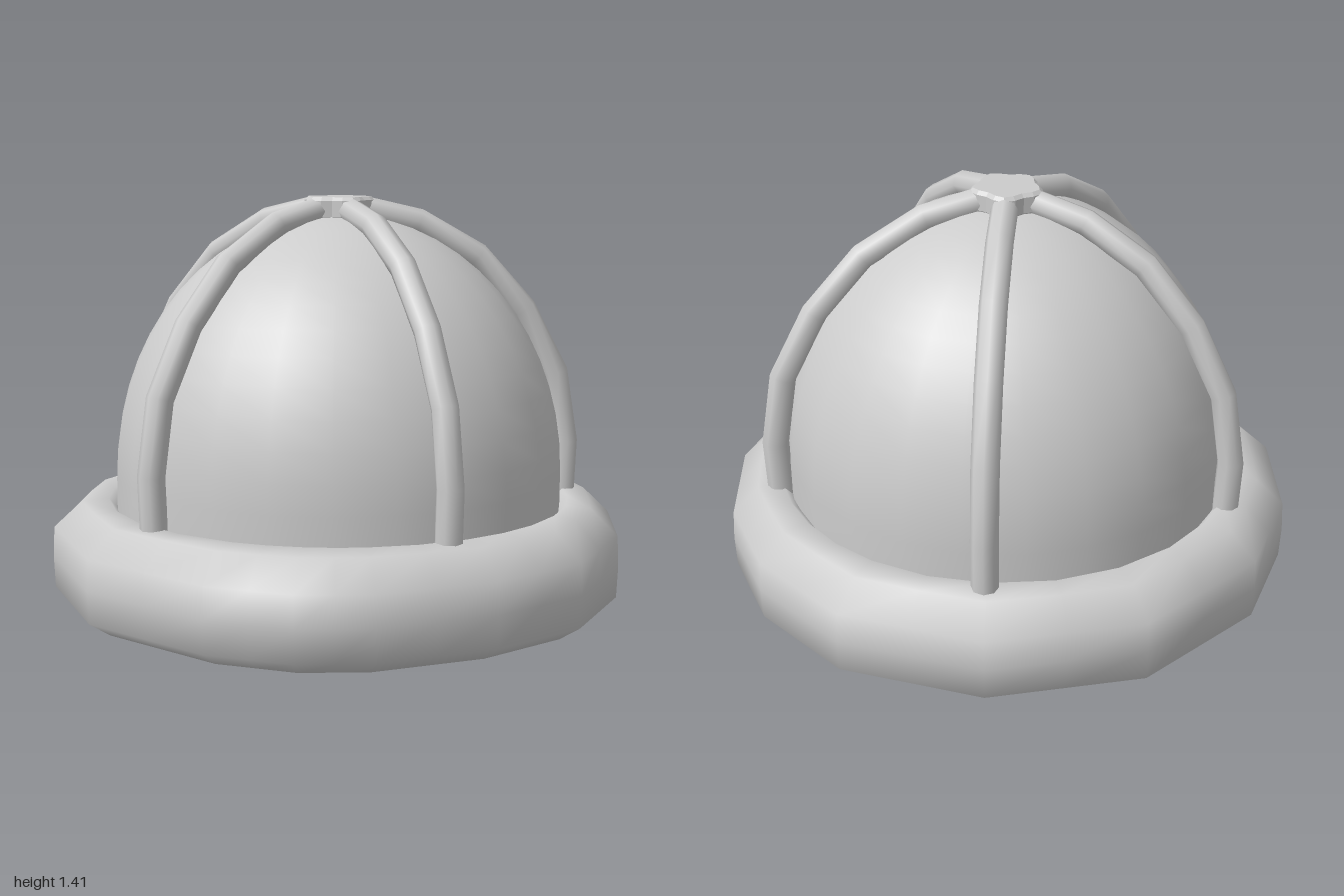
import * as THREE from 'three';

const DOME_R = 0.785;

// Slightly uneven rim outline as (x, z) pairs, going round from +x towards +z
const OUTLINE = [
  [0.99, 0.1], [0.87, 0.48], [0.61, 0.8], [0.28, 0.95], [-0.13, 1], [-0.37, 0.95], [-0.62, 0.79], [-0.93, 0.38],
  [-1, -0.12], [-0.87, -0.5], [-0.61, -0.8], [-0.13, -1], [0.4, -0.92], [0.8, -0.62], [0.97, -0.25],
];

// Rim sections: height, scale, and blend towards a true circle
const RINGS = [
  [0, 0.92, 0], [0.05, 0.995, 0], [0.16, 1, 0], [0.265, 0.995, 0],
  [0.355, 0.9, 0.3], [0.362, 0.81, 1], [0.32, 0.775, 1],
];

function rimGeometry() {
  const n = OUTLINE.length * 2;
  const positions = [], index = [];
  // Outline points with edge midpoints between them
  const loop = OUTLINE.flatMap(([x, z], i) => {
    const [x2, z2] = OUTLINE[(i + 1) % OUTLINE.length];
    return [[x, z], [(x + x2) / 2, (z + z2) / 2]];
  });
  for (const [y, scale, round] of RINGS) {
    for (const [x, z] of loop) {
      const s = scale * THREE.MathUtils.lerp(1, 1 / Math.hypot(x, z), round);
      positions.push(x * s, y, z * s);
    }
  }
  for (let j = 0; j < RINGS.length - 1; j++) {
    for (let i = 0; i < n; i++) {
      const a = j * n + i, b = j * n + (i + 1) % n;
      index.push(a, a + n, b, b, a + n, b + n);
    }
  }
  // Flat underside with its own vertices, so its edge stays crisp
  const base = positions.length / 3;
  for (let i = 0; i < n; i++) positions.push(...positions.slice(i * 3, i * 3 + 3));
  positions.push(0, 0, 0);
  for (let i = 0; i < n; i++) index.push(base + n, base + i, base + (i + 1) % n);

  const geo = new THREE.BufferGeometry();
  geo.setAttribute('position', new THREE.Float32BufferAttribute(positions, 3));
  geo.setIndex(index);
  geo.computeVertexNormals();
  return geo;
}

function domeGeometry() {
  const profile = [new THREE.Vector2(DOME_R, 0.3)];
  for (let i = 0; i <= 14; i++) {
    const t = (i / 14) * Math.PI / 2;
    profile.push(new THREE.Vector2(i === 14 ? 0 : DOME_R * Math.cos(t), 0.45 + 0.9 * Math.sin(t)));
  }
  return new THREE.LatheGeometry(profile, 24);
}

// Bent bar with one section at each path point
function ribGeometry() {
  const path = new THREE.CatmullRomCurve3([
    [0.815, 0.3], [0.825, 0.53], [0.785, 0.78], [0.665, 1.01], [0.495, 1.2], [0.285, 1.32], [0.09, 1.365],
  ].map(([x, y]) => new THREE.Vector3(x, y, 0)));
  path.getPointAt = (t, out) => path.getPoint(t, out);
  path.getTangentAt = (t, out) => path.getTangent(t, out);
  return new THREE.TubeGeometry(path, 6, 0.046, 8, false);
}

export function createModel() {
  const model = new THREE.Group();
  model.name = 'cagedDome';
  const grey = new THREE.MeshStandardMaterial({ color: 0xcccccc });
  grey.name = 'lightGrey';

  const add = (name, geometry, parent = model) => {
    const mesh = new THREE.Mesh(geometry, grey);
    mesh.name = name;
    parent.add(mesh);
    return mesh;
  };

  add('baseRim', rimGeometry());
  add('dome', domeGeometry());

  // Five ribs arching from the rim to the hub
  const cage = new THREE.Group();
  cage.name = 'cage';
  cage.position.z = -0.01;
  model.add(cage);
  const rib = ribGeometry();
  const start = THREE.MathUtils.degToRad(6.5);
  for (let i = 0; i < 5; i++) {
    add('rib' + (i + 1), rib, cage).rotation.y = -(start + i * Math.PI * 2 / 5);
  }

  // Flat hub, widest where the ribs meet it
  const shape = new THREE.Shape();
  for (let i = 0; i < 20; i++) {
    const a = i * Math.PI / 10;
    const r = 0.118 + 0.012 * Math.cos(5 * a);
    shape[i ? 'lineTo' : 'moveTo'](r * Math.cos(a), r * Math.sin(a));
  }
  const hub = new THREE.ExtrudeGeometry(shape, {
    depth: 0.055, bevelThickness: 0.012, bevelSize: 0.012, bevelOffset: -0.012, bevelSegments: 1,
  });
  hub.rotateX(-Math.PI / 2);
  hub.translate(0, 1.343, 0);
  add('hub', hub, cage).rotation.y = -start;

  return model;
}
